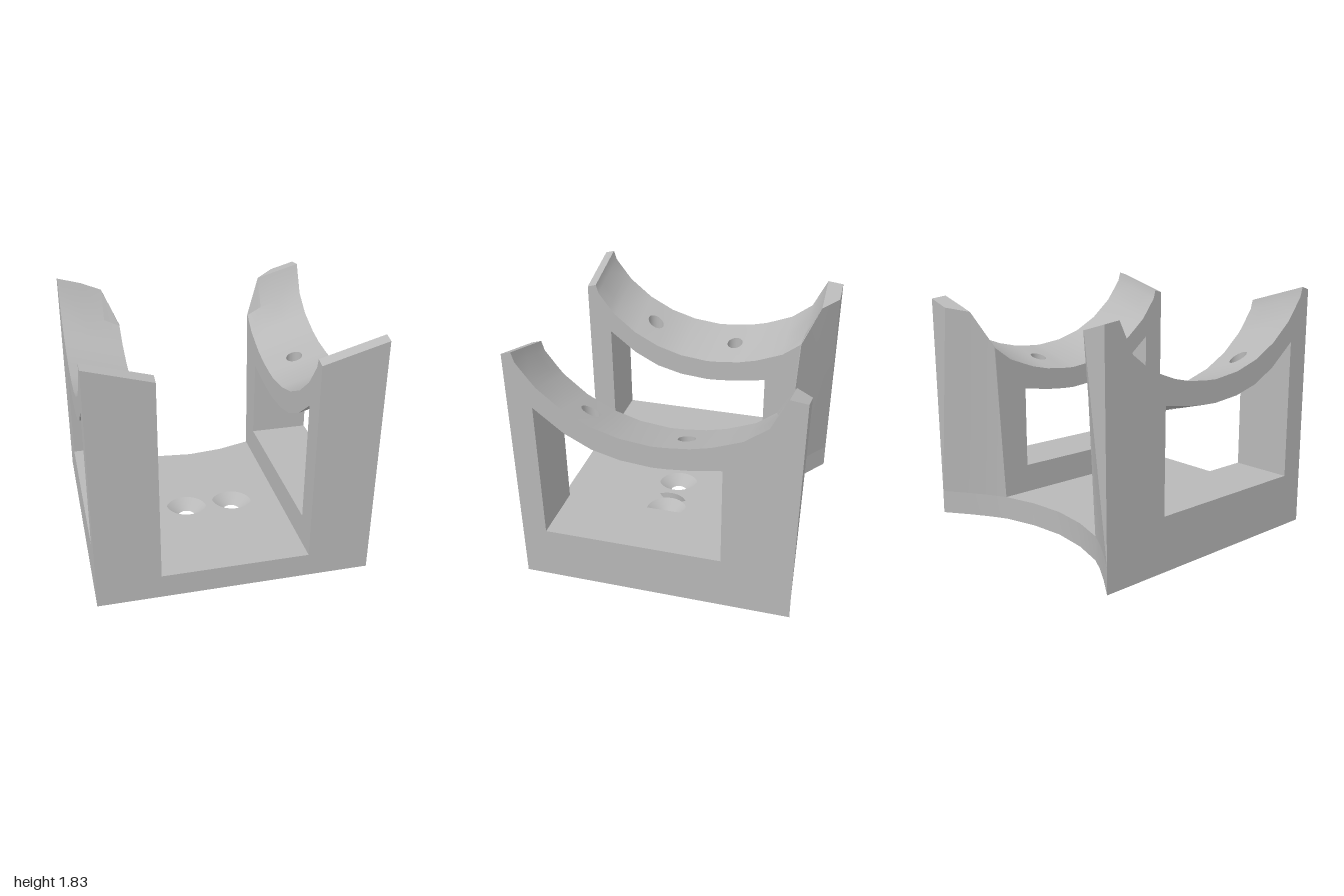
import * as THREE from 'three';
import { mergeGeometries, toCreasedNormals } from 'three/addons/utils/BufferGeometryUtils.js';

const BASE = 0.18, SILL = 0.4, FRONT = 0.82, REAR = -0.48;

// Side wall slices: x, rear z at the base, rearward lean per unit of height
const SLICES = [[0.54, -0.69, 0.041], [0.66, -0.755, 0.081], [0.81, -0.85, 0.1], [1, -0.985, 0.01]];

// Cradle top and window top at the outer face, as [z, y] from front to rear
const CRADLE = [[1, 1.81], [0.93, 1.83], [0.91, 1.76], [0.82, 1.64], [0.78, 1.59], [0.61, 1.45],
  [0.42, 1.35], [0.22, 1.29], [0, 1.265], [-0.1, 1.27], [-0.26, 1.287], [-0.4, 1.32],
  [-0.48, 1.35], [-0.61, 1.4], [-0.77, 1.52], [-0.88, 1.74], [-1, 1.725]];
const LINTEL = [[0.82, 1.435], [0.61, 1.27], [0.42, 1.172], [0.22, 1.12], [0, 1.1], [-0.1, 1.104],
  [-0.26, 1.119], [-0.48, 1.155]];

function heightAt(table, z) {
  for (let i = 1; i < table.length; i++) {
    const [za, ya] = table[i - 1], [zb, yb] = table[i];
    if (z >= zb) return ya + (yb - ya) * Math.min(1, Math.max(0, (za - z) / (za - zb)));
  }
  return table[table.length - 1][1];
}

// The cradle slopes down towards the inside
const slope = x => 0.283 * (1 - x);

function shapeOf(points) {
  return new THREE.Shape(points.map(p => new THREE.Vector2(p[0], p[1])));
}

function addHole(shape, x, y, r) {
  shape.holes.push(new THREE.Path().absarc(x, y, r, 0, Math.PI * 2, true));
}

function moveVertices(geometry, rule) {
  const pos = geometry.attributes.position;
  for (let i = 0; i < pos.count; i++) pos.setXYZ(i, ...rule(pos.getX(i), pos.getY(i), pos.getZ(i)));
  return geometry;
}

// Posts and sill, with the rear trimmed by the hollow back
function postsGeometry() {
  const outline = [[1, BASE], ...CRADLE.filter(p => p[0] >= FRONT), [FRONT, SILL], [REAR, SILL],
    ...CRADLE.filter(p => p[0] <= REAR), [-1, BASE]];
  const geo = new THREE.ExtrudeGeometry(shapeOf(outline.map(([z, y]) => [-z, y])),
    { depth: 1, steps: 3, bevelEnabled: false });
  return moveVertices(geo, (u, v, w) => {
    const [x, z0, lean] = SLICES[Math.round(w * 3)];
    const back = Math.max(-1, z0 - lean * (v - BASE));
    const z = Math.max(-u, back);
    let y = v;
    if (v > 1) y = (-u < back ? heightAt(CRADLE, z) : v) - slope(x);
    return [x, y, z];
  });
}

// Curved beam over the window, in strips, two of them drilled
function beamGeometries() {
  const cuts = [0.82, 0.78, 0.61, 0.42, 0.22, 0, -0.1, -0.26, -0.4, -0.48];
  return cuts.slice(1).map((b, i) => {
    const a = cuts[i];
    const strip = shapeOf([[0.54, -a], [1, -a], [1, -b], [0.54, -b]]);
    for (const z of [0.5, -0.18]) if (z < a && z > b) addHole(strip, 0.77, -z, 0.062);
    const geo = new THREE.ExtrudeGeometry(strip, { depth: 1, bevelEnabled: false, curveSegments: 24 });
    return moveVertices(geo, (x, v, w) =>
      [x, heightAt(w > 0.5 ? CRADLE : LINTEL, -v) - slope(x), -v]);
  });
}

// Base slab with a hollow back edge and two holes
function slabGeometry(y0, y1, holeRadius) {
  const half = [[0.28, -0.615], ...SLICES];
  const back = [...half.map(([x, z]) => [-x, z]).reverse(), [0, -0.585], ...half];
  const slab = shapeOf([[1, -1], [-1, -1], ...back.map(([x, z]) => [x, -z])]);
  for (const x of [-0.185, 0.185]) addHole(slab, x, -0.15, holeRadius);
  const geo = new THREE.ExtrudeGeometry(slab, { depth: y1 - y0, bevelEnabled: false, curveSegments: 32 });
  return geo.rotateX(-Math.PI / 2).translate(0, y0, 0);
}

export function createModel() {
  const grey = new THREE.MeshStandardMaterial({ color: 0xb8b8b8 });
  grey.name = 'grey';
  const model = new THREE.Group();
  model.name = 'cradleBracket';
  const add = (name, geometry) => {
    const mesh = new THREE.Mesh(geometry, grey);
    mesh.name = name;
    model.add(mesh);
    return mesh;
  };

  // Base plate with countersunk screw holes
  const base = mergeGeometries([slabGeometry(0, 0.06, 0.065), slabGeometry(0.06, BASE, 0.16)]);
  add('basePlate', toCreasedNormals(base, 0.5));
  for (const side of [-1, 1]) {
    const cone = new THREE.LatheGeometry(
      [new THREE.Vector2(0.16, 0.13), new THREE.Vector2(0.065, 0.06)], 48);
    add(side > 0 ? 'leftCountersink' : 'rightCountersink', cone).position.set(0.185 * side, 0, 0.15);
  }

  // Mirrored side walls with window and cradle
  const wall = toCreasedNormals(mergeGeometries([postsGeometry(), ...beamGeometries()]), 0.5);
  add('leftWall', wall);
  add('rightWall', wall).scale.x = -1;
  return model;
}
